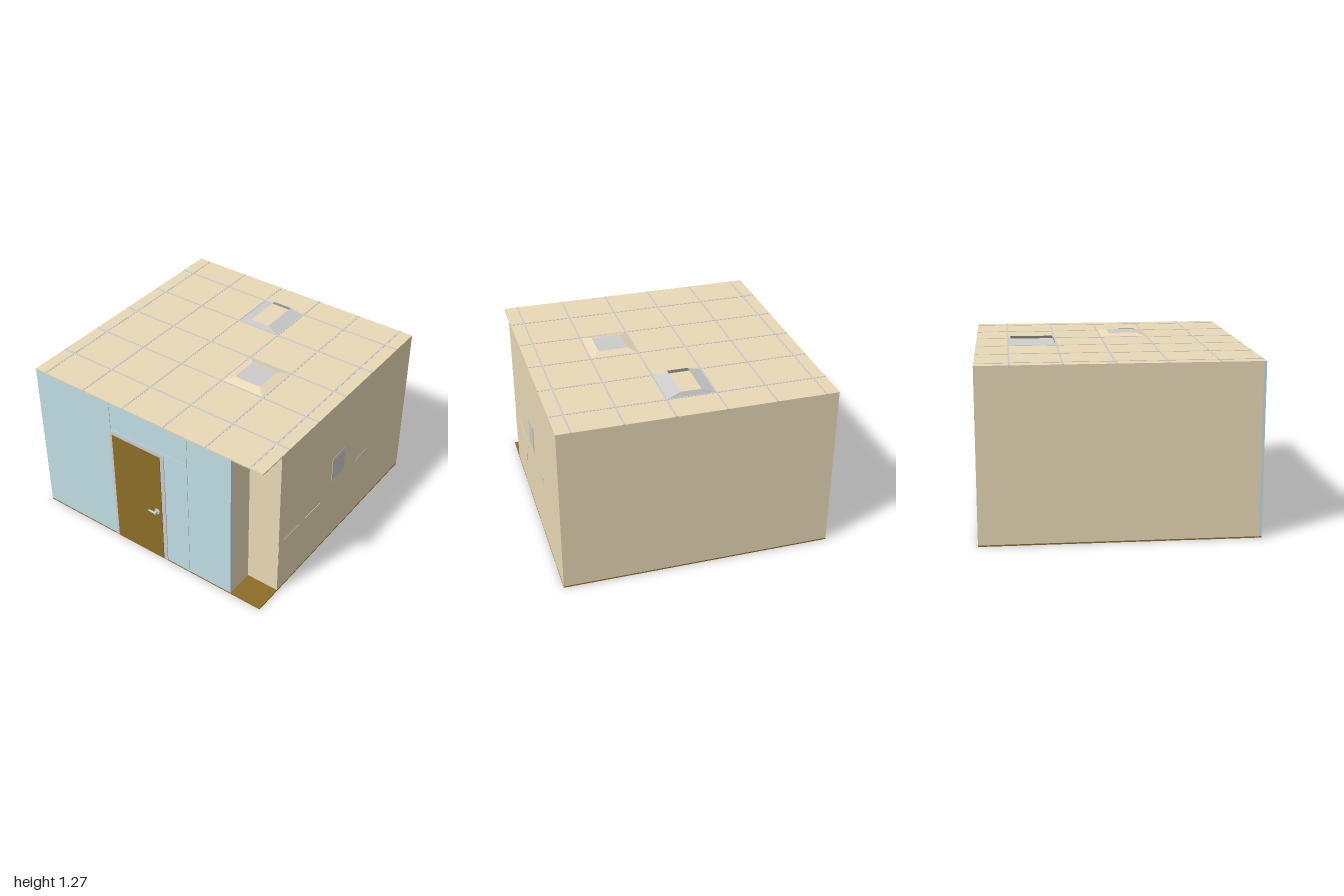
import * as THREE from 'three';

const mat = (color, extra = {}) => new THREE.MeshStandardMaterial({ color, flatShading: true, ...extra });

export function createModel() {
  const room = new THREE.Group();
  room.name = 'room';
  const cream = mat(0xe9dab6), blue = mat(0xc0dde5), brown = mat(0x8d6d26), grey = mat(0xcccccc);
  const greySheet = mat(0xcccccc, { side: THREE.DoubleSide });
  const creamSheet = mat(0xe9dab6, { side: THREE.DoubleSide });

  const add = (name, geometry, material, parent = room) => {
    const mesh = new THREE.Mesh(geometry, material);
    mesh.name = name;
    parent.add(mesh);
    return mesh;
  };
  // Box given by its extents on each axis
  const box = (name, x0, x1, y0, y1, z0, z1, material, parent) => {
    const mesh = add(name, new THREE.BoxGeometry(x1 - x0, y1 - y0, z1 - z0), material, parent);
    mesh.position.set((x0 + x1) / 2, (y0 + y1) / 2, (z0 + z1) / 2);
    return mesh;
  };
  // Four sloping sides between two rectangles [x0, x1, z0, z1]
  const slopes = (low, y0, high, y1) => {
    const ring = ([x0, x1, z0, z1], y) => [[x0, y, z1], [x1, y, z1], [x1, y, z0], [x0, y, z0]];
    const a = ring(low, y0), b = ring(high, y1), points = [];
    for (let i = 0; i < 4; i++) {
      const j = (i + 1) % 4;
      points.push(...a[i], ...a[j], ...b[j], ...a[i], ...b[j], ...b[i]);
    }
    const g = new THREE.BufferGeometry();
    g.setAttribute('position', new THREE.Float32BufferAttribute(points, 3));
    g.computeVertexNormals();
    return g;
  };

  const X = 0.98, back = -0.995, front = 0.955, top = 1.24, notchX = 0.73, notchZ = 0.74;

  // Floor and ceiling sheets cover the full plan, including the front corner recess
  box('floor', -X, X, 0, 0.01, back, front, brown);
  box('ceiling', -X, X, top - 0.01, top, back, front, cream);

  // Walls
  const y0 = 0.01, y1 = top - 0.01, t = 0.02;
  box('backWall', -X, X, y0, y1, back, back + t, cream);
  box('rightWall', -X, -X + t, y0, y1, back + t, front - t, cream);
  box('leftWall', X - t, X, y0, y1, back + t, notchZ, cream);
  box('recessBackWall', notchX, X - t, y0, y1, notchZ - t, notchZ, cream);
  box('recessSideWall', notchX - t, notchX, y0, y1, notchZ, front - t, cream);
  box('frontWall', -X, notchX, y0, y1, front - t, front, blue);

  // Slim raised strips dividing the front wall
  const strip = front + 0.003;
  box('frontStrip', -0.32, -0.30, y0, y1, front, strip, blue);
  box('frontStrip', 0.35, 0.37, y0, y1, front, strip, blue);
  box('frontTransom', -0.30, 0.35, 0.99, 1.01, front, strip, blue);

  // Door with its frame
  box('doorFrameSide', -0.31, -0.285, y0, 0.99, front, front + 0.005, grey);
  box('doorFrameSide', 0.138, 0.17, y0, 0.99, front, front + 0.005, grey);
  box('doorFrameTop', -0.285, 0.138, 0.965, 0.99, front, front + 0.005, grey);
  box('door', -0.285, 0.138, 0.012, 0.965, front, 0.965, brown);

  // Door handle: rose, stem and tapered lever
  const handle = new THREE.Group();
  handle.name = 'doorHandle';
  handle.position.set(0.1, 0.457, 0.965);
  room.add(handle);
  const smooth = new THREE.MeshStandardMaterial({ color: 0xcccccc });
  const rose = add('handleRose', new THREE.CylinderGeometry(0.021, 0.023, 0.008, 24), smooth, handle);
  rose.rotation.x = Math.PI / 2;
  rose.position.z = 0.004;
  const stem = add('handleStem', new THREE.CylinderGeometry(0.009, 0.009, 0.034, 16), smooth, handle);
  stem.rotation.x = Math.PI / 2;
  stem.position.z = 0.018;
  const lever = add('handleLever', new THREE.CylinderGeometry(0.006, 0.009, 0.068, 16), smooth, handle);
  lever.rotation.z = Math.PI / 2;
  lever.position.set(-0.027, 0, 0.026);

  // Ceiling grid bars
  const barTop = top + 0.002, half = 0.006;
  for (let i = 0; i < 6; i++) {
    const x = -0.887 + i * 0.353;
    box('ceilingBar', x - half, x + half, top - 0.012, barTop, back, front, grey);
  }
  for (let i = 0; i < 5; i++) {
    const z = -0.762 + i * 0.353;
    box('ceilingCrossBar', -X, X, top - 0.012, barTop, z - half, z + half, grey);
  }

  // Light housing: sloping grey sides, open over the ceiling tile
  add('lightHousing', slopes([-0.175, 0.165, -0.757, -0.415], top, [-0.08, 0.07, -0.742, -0.432], 1.273), greySheet);

  // Air diffuser: cream hood with a grey cap
  add('diffuserHood', slopes([0.175, 0.52, -0.055, 0.295], top, [0.238, 0.452, 0.01, 0.227], 1.262), creamSheet);
  box('diffuserCap', 0.238, 0.452, 1.25, 1.26, 0.01, 0.227, grey);

  // Fittings showing through the left wall
  box('wallPanel', X - 0.01, X + 0.004, 0.56, 0.765, -0.095, 0.07, grey);
  const outline = (name, points, depth, material) => {
    const shape = new THREE.Shape(points.map(([z, y]) => new THREE.Vector2(-z, y)));
    const mesh = add(name, new THREE.ExtrudeGeometry(shape, { depth, bevelEnabled: false }), material);
    mesh.rotation.y = Math.PI / 2;
    mesh.position.x = X - 0.001;
  };
  outline('wallShelf', [[-0.28, 0.505], [-0.425, 0.508], [-0.425, 0.535], [-0.28, 0.522]], 0.004, grey);
  outline('counterEnd', [[0.738, 0.2], [0.31, 0.2], [0.27, 0.39], [0.23, 0.41], [0.17, 0.42],
    [0.17, 0.455], [0.738, 0.455]], 0.003, cream);

  return room;
}
